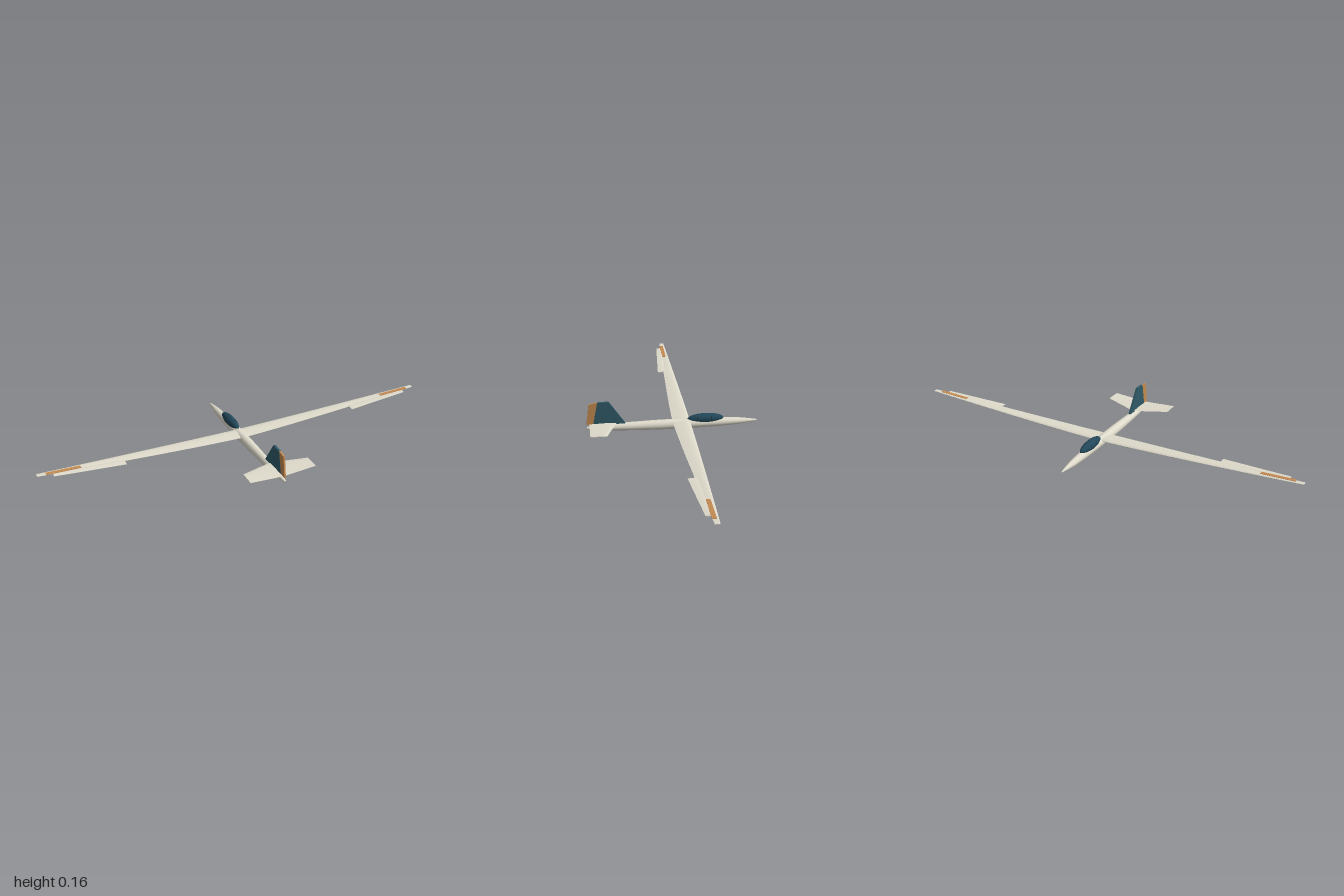
import * as THREE from 'three';
import { toCreasedNormals } from 'three/addons/utils/BufferGeometryUtils.js';

const mat = (color, side = THREE.FrontSide) => new THREE.MeshStandardMaterial({ color, side });
const cream = mat(0xdedacb), teal = mat(0x2f5b68), orange = mat(0xc48a50);
const glass = mat(0x22485a), dark = mat(0x20282c);

// Aerofoil outline as [chord fraction, thickness fraction], leading edge over the top and back underneath
const AEROFOIL = [[0, 0], [0.04, 0.22], [0.15, 0.42], [0.3, 0.5], [0.55, 0.4], [0.8, 0.2], [1, 0.03],
  [1, -0.03], [0.8, -0.2], [0.55, -0.4], [0.3, -0.5], [0.15, -0.42], [0.04, -0.22]];

// Skin stations { x, y, lead, trail, thick }, ordered by rising x, into a closed surface
function loft(stations, outline = AEROFOIL) {
  const pos = [], index = [], n = outline.length;
  for (const s of stations)
    for (const [u, t] of outline) pos.push(s.x, s.y + t * s.thick, s.lead + u * (s.trail - s.lead));
  for (let k = 0; k < stations.length - 1; k++)
    for (let i = 0; i < n; i++) {
      const a = k * n + i, b = k * n + (i + 1) % n;
      index.push(a, b, a + n, b, b + n, a + n);
    }
  const last = (stations.length - 1) * n;
  for (let i = 1; i < n - 1; i++) index.push(0, i + 1, i, last, last + i, last + i + 1);
  const g = new THREE.BufferGeometry();
  g.setAttribute('position', new THREE.Float32BufferAttribute(pos, 3));
  g.setIndex(index);
  return toCreasedNormals(g, 0.6);
}

// Upright plate from [z, y] corners, centred on x = 0
function plate(corners, thickness) {
  const shape = new THREE.Shape(corners.map(([z, y]) => new THREE.Vector2(-z, y)));
  const g = new THREE.ExtrudeGeometry(shape, { depth: thickness, bevelEnabled: false });
  return g.translate(0, 0, -thickness / 2).rotateY(Math.PI / 2);
}

const lerp = THREE.MathUtils.lerp;
const wingY = x => 0.037 + 0.03 * Math.pow(Math.abs(x), 1.3);
const wingLead = x => -0.082 + 0.019 * Math.pow(Math.abs(x), 1.4);
const wingTrail = x => 0.003 - 0.043 * Math.pow(Math.abs(x), 1.25);
const wingThick = x => lerp(0.013, 0.004, Math.abs(x));

export function createModel() {
  const model = new THREE.Group();
  const add = (name, geometry, material, parent = model) => {
    const mesh = new THREE.Mesh(geometry, material);
    mesh.name = name;
    parent.add(mesh);
    return mesh;
  };

  // Spindle fuselage, nose towards -z
  const profile = [[0, -0.415], [0.004, -0.405], [0.0105, -0.364], [0.0162, -0.32], [0.021, -0.23], [0.0232, -0.12],
    [0.024, 0], [0.0236, 0.08], [0.0207, 0.19], [0.0175, 0.28], [0.0142, 0.35], [0.007, 0.413], [0, 0.415]];
  const body = new THREE.LatheGeometry(profile.map(([r, z]) => new THREE.Vector2(r, z)), 32);
  add('fuselage', body.rotateX(Math.PI / 2), cream).position.y = 0.0245;

  // Bubble canopy with two thin frame hoops
  const canopy = new THREE.Group();
  canopy.name = 'canopy';
  canopy.position.set(0, 0.0465, -0.158);
  model.add(canopy);
  add('canopyGlass', new THREE.SphereGeometry(1, 32, 20).scale(0.0225, 0.0255, 0.088), glass, canopy);
  for (const z of [-0.025, 0.043]) {
    const k = Math.sqrt(1 - (z / 0.088) ** 2);
    const hoop = new THREE.TorusGeometry(1, 0.025, 6, 32).scale(0.0225 * k, 0.0255 * k, 0.025);
    add('canopyFrame', hoop, dark, canopy).position.z = z;
  }

  // Slender wing with gently rising tips
  const stations = [];
  for (let i = -12; i <= 12; i++) {
    const x = i / 12;
    stations.push({ x, y: wingY(x), lead: wingLead(x), trail: wingTrail(x), thick: wingThick(x) });
  }
  add('wing', loft(stations), cream);

  // Ailerons and coloured tip bands on both sides
  for (const side of [1, -1]) {
    const span = (x0, x1, make) => {
      const list = [0, 0.25, 0.5, 0.75, 1].map(t => make(lerp(x0, x1, t), t));
      if (side < 0) list.reverse();
      return list.map(s => ({ ...s, x: s.x * side }));
    };
    const label = side > 0 ? 'left' : 'right';
    add(label + 'Aileron', loft(span(0.6, 0.93, (x, t) => ({
      x, y: wingY(x) - 0.0005, lead: lerp(-0.035, -0.048, t), trail: lerp(0.011, -0.015, t), thick: 0.004,
    }))), cream);
    add(label + 'TipBand', loft(span(0.8, 0.96, x => ({
      x, y: wingY(x) + wingThick(x) * 0.5, lead: -0.055, trail: -0.036, thick: 0.002,
    })), [[0, -0.5], [0, 0.5], [1, 0.5], [1, -0.5]]), orange);
  }

  // Tailplane with shallow dihedral
  add('tailplane', loft([-0.165, 0, 0.165].map(x => ({
    x, y: x ? 0.056 : 0.045, lead: x ? 0.325 : 0.272, trail: 0.403, thick: x ? 0.004 : 0.007,
  }))), cream);

  // Swept fin and rudder
  add('fin', plate([[0.229, 0.041], [0.308, 0.157], [0.362, 0.155], [0.384, 0.041]], 0.01), teal);
  add('rudder', plate([[0.384, 0.043], [0.362, 0.155], [0.402, 0.148], [0.416, 0.043]], 0.008), orange);

  return model;
}
